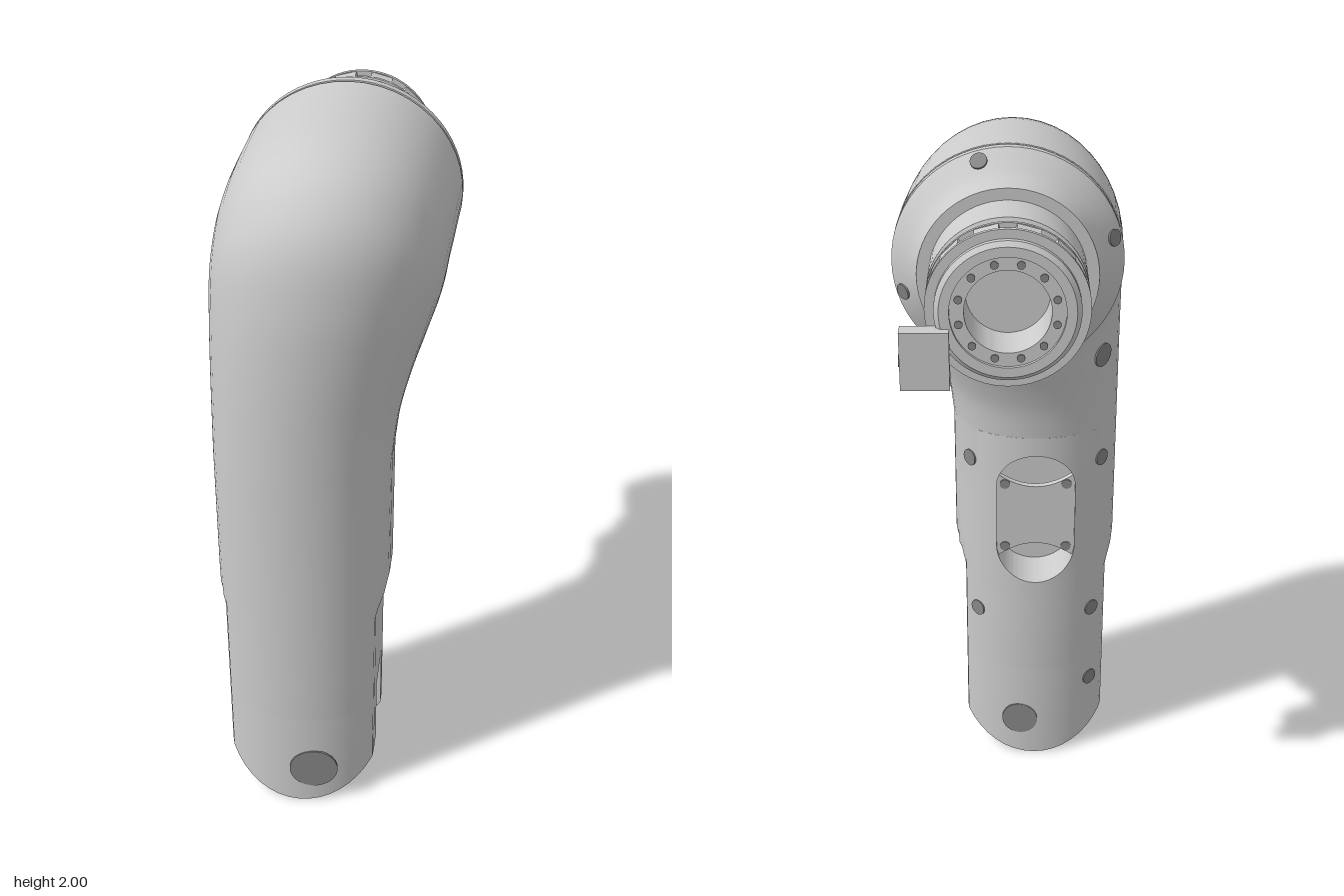
import * as THREE from 'three';
import { toCreasedNormals } from 'three/addons/utils/BufferGeometryUtils.js';

const grey = new THREE.MeshStandardMaterial({ color: 0xcccccc });
const dark = new THREE.MeshStandardMaterial({ color: 0x888888 });
const V = (x, y, z) => new THREE.Vector3(x, y, z);
const { clamp, lerp, smoothstep } = THREE.MathUtils;

const XC = -0.07, HW = 0.24, DEPTH = 0.2; // limb centre, half width, depth of its rounded faces
const BEND = 1.12;                        // height where the elbow starts
const N = 24;                             // columns on each face
const columns = Array.from({ length: N + 1 }, (_, i) => -Math.cos(Math.PI * i / N));

// Elbow stations: outer edge (z, y), inner edge (z, y), side limits (-x, +x)
const spline = (...p) => new THREE.SplineCurve(p.map(([a, b]) => new THREE.Vector2(a, b)));
const outer = spline([0.5, 1.12], [0.5, 1.3], [0.5, 1.48], [0.495, 1.63], [0.475, 1.77],
  [0.43, 1.865], [0.35, 1.94], [0.23, 1.98], [0.08, 1.995], [-0.09, 2]);
const inner = spline([0.015, 1.12], [0.005, 1.2], [-0.01, 1.265], [-0.025, 1.315], [-0.035, 1.345],
  [-0.045, 1.365], [-0.055, 1.38], [-0.065, 1.39], [-0.075, 1.4], [-0.09, 1.405]);
const sides = spline([-0.31, 0.17], [-0.31, 0.185], [-0.31, 0.215], [-0.31, 0.245], [-0.31, 0.27],
  [-0.308, 0.285], [-0.305, 0.293], [-0.3, 0.3], [-0.295, 0.305], [-0.29, 0.31]);

// Point on the shell: r is height up to BEND, then BEND..BEND+1 runs round the elbow
function shell(r, u, face) {
  const round = Math.sqrt(Math.max(0, 1 - u * u));
  if (r <= BEND) {
    const k = smoothstep(r, 0.63, 0.73);
    const x = clamp(XC + HW * u, lerp(-0.285, -0.31, k), lerp(0.14, 0.17, k));
    return V(x, r, 0.2575 + face * (0.2425 - DEPTH * (1 - round)));
  }
  const t = Math.min(1, r - BEND);
  const o = outer.getPoint(t), i = inner.getPoint(t), s = sides.getPoint(t);
  const v = face * (1 - lerp(DEPTH / 0.2425, 1, Math.min(1, t * 1.6)) * (1 - round));
  const p = i.clone().lerp(o, (v + 1) / 2);
  return V(lerp(s.x, s.y, (u + 1) / 2), p.y, p.x);
}

// Surface through rows of points
function grid(rows, closed = false, skip = () => false) {
  const w = rows[0].length, index = [];
  for (let i = 0; i < rows.length - 1; i++) {
    for (let j = 0; j < (closed ? w : w - 1); j++) {
      if (skip(i, j)) continue;
      const a = i * w + j, b = i * w + (j + 1) % w;
      index.push(a, b, b + w, a, b + w, a + w);
    }
  }
  const geo = new THREE.BufferGeometry().setFromPoints(rows.flat());
  geo.setIndex(index);
  return toCreasedNormals(geo, 0.5);
}

export function createModel() {
  const model = new THREE.Group();
  const add = (name, geo, mat = grey, parent = model) => {
    const mesh = new THREE.Mesh(geo, mat);
    mesh.name = name;
    parent.add(mesh);
    return mesh;
  };
  const box = (name, x0, x1, y0, y1, z0, z1) => add(name, new THREE.BoxGeometry(x1 - x0, y1 - y0, z1 - z0)
    .translate((x0 + x1) / 2, (y0 + y1) / 2, (z0 + z1) / 2));
  // Round hole mark lying on a surface
  const hole = (name, p, normal, radius, parent = model) => {
    const m = add(name, new THREE.CylinderGeometry(radius, radius, 0.006, 24), dark, parent);
    m.position.copy(p);
    m.quaternion.setFromUnitVectors(V(0, 1, 0), normal.clone().normalize());
  };

  // Limb and elbow shell, leaving an opening for the rear pocket
  const stations = [0.32, 0.45, 0.58, 0.63, 0.66, 0.69, 0.73, 0.9, BEND];
  for (let i = 1; i <= 45; i++) stations.push(BEND + i / 45);
  const rings = stations.map(r => [
    ...columns.map(u => shell(r, u, 1)),
    ...[...columns].reverse().map(u => shell(r, u, -1))]);
  add('armShell', grid(rings, true, (i, j) => {
    const k = j - N - 1;
    return i >= 2 && i < 8 && k >= N / 4 && k < N * 3 / 4;
  }));

  // Two prongs either side of the bottom slot
  for (const face of [1, -1]) {
    const zIn = face > 0 ? 0.32 : 0.175;
    const prong = [[0, 0], [0, 1], [1, 1], [1, 0]].map(([out, low]) => columns.map(u => {
      const p = shell(0.32, u, face), c = Math.min(Math.abs(u), 0.885);
      const zOut = face > 0 ? Math.max(p.z, zIn) : Math.min(p.z, zIn);
      return V(p.x, low ? DEPTH * (1 - Math.sqrt(1 - c * c)) : 0.32, out ? zOut : zIn);
    }));
    if (face < 0) prong.forEach(row => row.reverse());
    add(face > 0 ? 'frontProng' : 'backProng', grid(prong));
  }
  box('slotBlock', -0.285, -0.1, 0.18, 0.32, 0.175, 0.32);
  box('slotPin', -0.1, 0.1, 0.205, 0.24, 0.175, 0.225);
  add('slotRoof', new THREE.PlaneGeometry(0.24, 0.145).rotateX(Math.PI / 2).translate(0.02, 0.32, 0.2475));
  add('slotSkin', new THREE.PlaneGeometry(0.145, 0.075).rotateY(-Math.PI / 2).translate(-0.285, 0.1435, 0.2475));

  // Rear pocket: curved surround, wall, floor and plate
  const PY = 0.85, R = 0.115, H = 0.0975, M = 104, rectX = HW * Math.SQRT1_2, rectY = 0.27;
  const stadium = Array.from({ length: M }, (_, i) => {
    const a = 2 * Math.PI * i / M, s = Math.sin(a);
    return new THREE.Vector2(R * Math.cos(a), R * s + (Math.abs(s) < 1e-6 ? 0 : Math.sign(s) * H));
  });
  const surround = [stadium.map(p => V(XC + p.x, PY + p.y, 0.16))];
  for (let k = 0; k <= 4; k++) {
    surround.push(stadium.map(p => {
      const m = Math.max(Math.abs(p.x) / rectX, Math.abs(p.y) / rectY);
      const q = p.clone().multiplyScalar(lerp(1, 1 / m, k / 4));
      return V(XC + q.x, PY + q.y, shell(0.9, q.x / HW, -1).z);
    }));
  }
  add('pocketSurround', grid(surround, true));
  add('pocketFloor', new THREE.ShapeGeometry(new THREE.Shape(stadium)).rotateY(Math.PI).translate(XC, PY, 0.16));
  const plate = new THREE.Shape();
  plate.moveTo(-R, -0.14);
  plate.quadraticCurveTo(0, -0.05, R, -0.14);
  plate.lineTo(R, 0.14);
  plate.quadraticCurveTo(0, 0.05, -R, 0.14);
  add('pocketPlate', new THREE.ExtrudeGeometry(plate, { depth: 0.02, bevelEnabled: false }).translate(XC, PY, 0.05));
  for (const sx of [-1, 1]) for (const sy of [-1, 1])
    hole('plateScrew', V(XC + sx * 0.09, PY + sy * 0.105, 0.05), V(0, 0, -1), 0.015);

  // Pivot holes and screw holes on the shell
  hole('frontPivot', V(-0.025, 0.13, 0.496), V(0.1, 0, 1), 0.07);
  hole('backPivot', V(-0.025, 0.13, 0.02), V(0.1, 0, -1), 0.055);
  for (const r of [0.25, 0.51, 1.02, 1.42]) {
    for (const s of [-1, 1]) {
      if (r === 0.25 && s > 0) continue;
      const u = s * (r === 0.51 || r === 0.25 ? 0.72 : 0.8), e = 0.01;
      const p = shell(r, u, -1);
      const du = shell(r, u + e, -1).sub(p), dr = shell(r + e, u, -1).sub(p);
      hole('shellScrew', p, dr.cross(du), r > 1.2 ? 0.035 : 0.025);
    }
  }

  // Wrist: everything turned about the horizontal axis, built along -z
  const wrist = new THREE.Group();
  wrist.name = 'wrist';
  wrist.position.set(0.01, 1.7, 0);
  model.add(wrist);
  const turned = (name, pts) => add(name, toCreasedNormals(
    new THREE.LatheGeometry(pts.map(([r, h]) => new THREE.Vector2(r, h)), 64).rotateX(-Math.PI / 2), 0.5), grey, wrist);
  turned('collar', [[0.3, 0.088], [0.293, 0.09], [0.293, 0.099], [0.3, 0.1], [0.3, 0.122],
    [0.285, 0.14], [0.258, 0.165], [0.242, 0.19], [0.233, 0.215], [0.23, 0.236], [0.2, 0.236]]);
  turned('neck', [[0.2, 0.236], [0.2, 0.365], [0.182, 0.372], [0.174, 0.39], [0.2, 0.395], [0.2, 0.405], [0.165, 0.405]]);
  turned('endRing', [[0.165, 0.44], [0.2, 0.44], [0.2, 0.452], [0.177, 0.452], [0.177, 0.466], [0.165, 0.477],
    [0.14, 0.477], [0.14, 0.468], [0.105, 0.468], [0.105, 0.34], [0, 0.34]]);
  for (let i = 0; i < 12; i++) {
    const a = (i + 0.5) * Math.PI / 6;
    const post = add('ventPost', new THREE.BoxGeometry(0.022, 0.06, 0.037), grey, wrist);
    post.position.set(0.186 * Math.cos(a), 0.186 * Math.sin(a), -0.4225);
    post.rotation.z = a;
    hole('endScrew', V(0.122 * Math.cos(a), 0.122 * Math.sin(a), -0.468), V(0, 0, -1), 0.01, wrist);
  }
  for (let i = 0; i < 4; i++) {
    const a = Math.PI * (i / 2 - 1 / 12), c = Math.cos(a), s = Math.sin(a);
    hole('collarScrew', V(0.28 * c, 0.28 * s, -0.145), V(c, s, -0.9), 0.022, wrist);
  }

  // Clamp latch beside the end ring
  box('latchBlock', 0.15, 0.27, 1.51, 1.66, -0.5, -0.455);
  const lug = new THREE.Shape([[0.16, -0.44], [0.25, -0.44], [0.25, -0.39], [0.23, -0.365], [0.19, -0.365]]
    .map(([x, z]) => new THREE.Vector2(x, -z)));
  add('latchLug', new THREE.ExtrudeGeometry(lug, { depth: 0.09, bevelEnabled: false })
    .rotateX(-Math.PI / 2).translate(0, 1.53, 0));
  box('latchBridge', 0.18, 0.23, 1.55, 1.61, -0.46, -0.43);
  hole('latchScrew', V(0.27, 1.58, -0.478), V(1, 0, 0), 0.015);

  return model;
}
